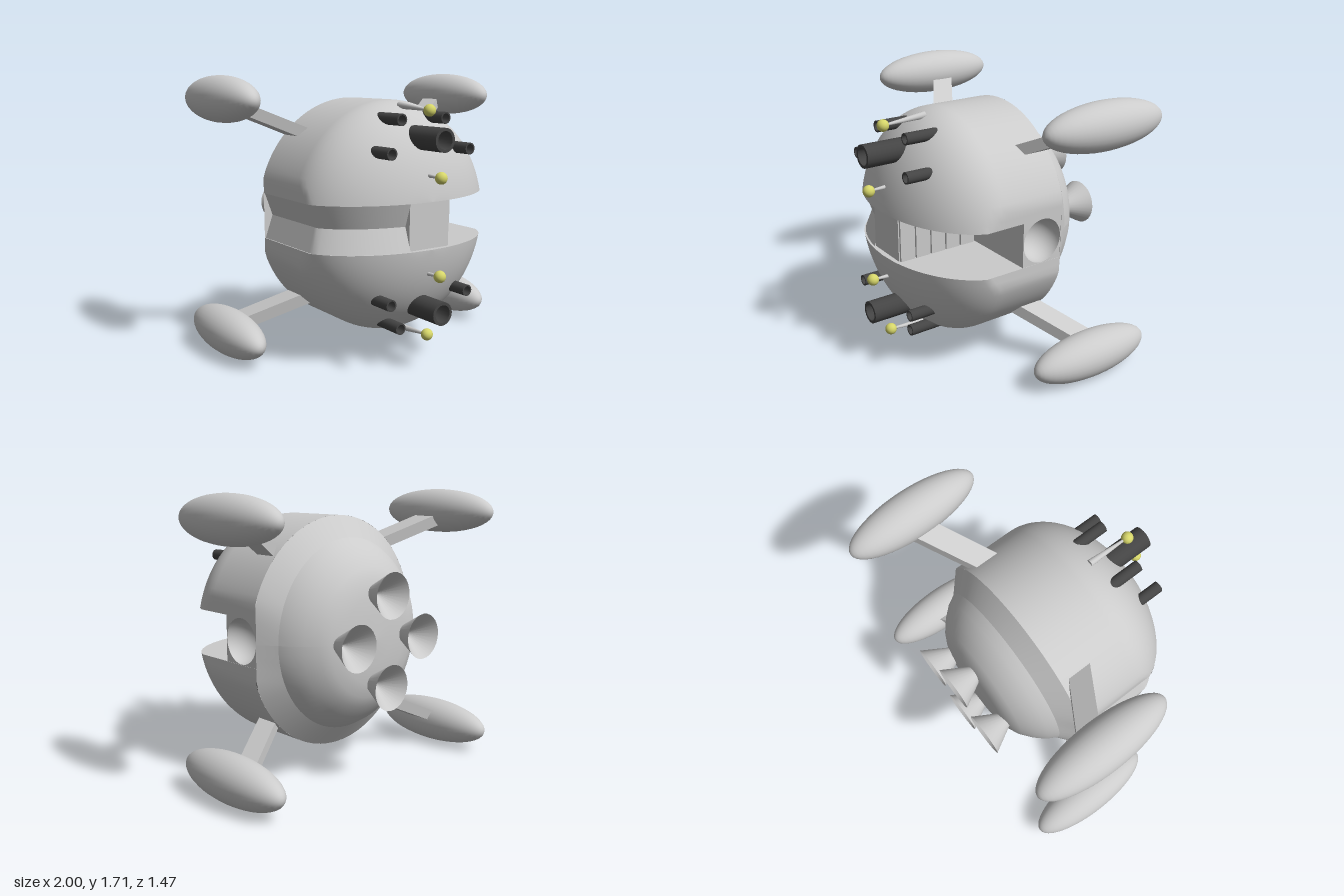
import * as THREE from 'three';

const grey = new THREE.MeshStandardMaterial({ color: 0xcccccc, side: THREE.DoubleSide });
const dark = new THREE.MeshStandardMaterial({ color: 0x444444, side: THREE.DoubleSide });
const yellow = new THREE.MeshStandardMaterial({ color: 0xd6d66a });

const MID = 0.86;              // height of the hull axis
const RX = 0.67, RY = 0.71;    // hull cross-section radii
const SIDE = 0.63;             // flat sides of the hull
const GAP = 0.14;              // half height of the slot
const BACK = -0.23;            // rear rim of the hull
const clampX = (x) => THREE.MathUtils.clamp(x, -SIDE, SIDE);

function add(parent, name, geometry, material, x = 0, y = 0, z = 0) {
  const mesh = new THREE.Mesh(geometry, material);
  mesh.name = name;
  mesh.position.set(x, y, z);
  parent.add(mesh);
  return mesh;
}

// Skin over rows of points, all rows of equal length
function loft(rows) {
  const n = rows[0].length, index = [];
  for (let i = 0; i < rows.length - 1; i++) {
    for (let j = 0; j < n - 1; j++) {
      const a = i * n + j, b = a + 1, c = a + n, d = c + 1;
      index.push(a, c, b, b, c, d);
    }
  }
  const g = new THREE.BufferGeometry();
  g.setAttribute('position', new THREE.Float32BufferAttribute(rows.flat(2), 3));
  g.setIndex(index);
  g.computeVertexNormals();
  return g;
}

function arc(s, z, from, to, count) {
  return Array.from({ length: count + 1 }, (_, j) => {
    const a = from + (to - from) * j / count;
    return [clampX(RX * s * Math.cos(a)), RY * s * Math.sin(a), z];
  });
}

// Lathe turned so that its axis runs along z
function latheZ(profile, sides) {
  return new THREE.LatheGeometry(profile.map(([r, z]) => new THREE.Vector2(r, z)), sides).rotateX(Math.PI / 2);
}

// Open barrel along z with a shallow bore
function barrel(r, back, front) {
  const b = r * 0.75;
  return latheZ([[r, back], [r, front], [r, front], [b, front], [b, front], [b, front - 0.12], [0, front - 0.12]], 20);
}

// Tapered rod between two points
function rod(p, q, r0, r1) {
  const d = new THREE.Vector3().subVectors(q, p);
  const g = new THREE.CylinderGeometry(r1, r0, d.length(), 12);
  g.applyQuaternion(new THREE.Quaternion().setFromUnitVectors(new THREE.Vector3(0, 1, 0), d.clone().normalize()));
  return g.translate((p.x + q.x) / 2, (p.y + q.y) / 2, (p.z + q.z) / 2);
}

// One half of the craft, measured from the hull axis
function createHalf(name) {
  const half = new THREE.Group();
  half.name = name;

  // Domed shell and its flat face along the slot
  const rows = [];
  const t0 = Math.acos(GAP / RY);
  for (let i = 0; i <= 20; i++) {
    const t = t0 * (1 - i / 20), s = Math.cos(t);
    const a = Math.asin(Math.min(1, GAP / (RY * s)));
    rows.push(arc(s, 0.18 + 0.457 * Math.sin(t), a, Math.PI - a, 40));
  }
  rows.push(rows[20].map(([x, y]) => [x, y, BACK]));
  add(half, 'hullShell', loft(rows), grey);
  add(half, 'slotFace', loft(rows.map((r) => [r[40], r[0]])), grey);

  // Guns
  add(half, 'mainGun', barrel(0.07, 0.38, 0.73), dark, 0, 0.5, 0);
  for (const side of [-1, 1]) {
    add(half, 'innerGun', barrel(0.035, 0.3, 0.545), dark, side * 0.16, 0.61, 0);
    add(half, 'outerGun', barrel(0.035, 0.42, 0.62), dark, side * 0.285, 0.43, 0);
  }

  // Antennas with ball tips
  for (const [y0, z0, y1, z1, r] of [[0.68, 0.31, 0.66, 0.59, 0.022], [0.29, 0.56, 0.285, 0.7, 0.014]]) {
    add(half, 'antenna', rod(new THREE.Vector3(0, y0, z0), new THREE.Vector3(0, y1, z1), r, 0.006), grey);
    add(half, 'antennaTip', new THREE.SphereGeometry(0.036, 20, 14), yellow, 0, y1, z1);
  }

  // Pods on swept struts
  for (const side of [-1, 1]) {
    const pod = new THREE.SphereGeometry(0.14, 32, 24).rotateX(Math.PI / 2).scale(1, 1, 0.425 / 0.14);
    add(half, 'pod', pod, grey, side * 0.86, 0.715, -0.305);
    const strut = new THREE.BoxGeometry(0.46, 0.075, 0.15);
    const p = strut.attributes.position;
    for (let i = 0; i < p.count; i++) {
      const out = side * p.getX(i) + 0.16;
      p.setY(i, p.getY(i) + out * 0.48);
      p.setZ(i, p.getZ(i) - out * 0.64);
    }
    strut.computeVertexNormals();
    add(half, 'strut', strut, grey, side * 0.6, 0.51, -0.11);
  }
  return half;
}

export function createModel() {
  const model = new THREE.Group();
  model.name = 'spacecraft';
  const body = new THREE.Group();
  body.name = 'body';
  body.position.y = MID;
  model.add(body);

  // The lower half is the upper half turned about the hull axis
  body.add(createHalf('upperHalf'));
  const lower = createHalf('lowerHalf');
  lower.rotation.z = Math.PI;
  body.add(lower);

  // Rear cone rising to a shallow dome
  const rear = [[0, BACK], [1, BACK], [1, BACK], [0.82, -0.33], [0.82, -0.33], [0.77, -0.39], [0.69, -0.45],
    [0.59, -0.505], [0.5, -0.535], [0.38, -0.555], [0.2, -0.565], [0, -0.57]];
  add(body, 'rearDome', loft(rear.map(([s, z]) => arc(s, z, 0, Math.PI * 2, 64))), grey);

  // Four rear nozzles in a diamond
  for (const [x, y] of [[0.27, 0], [-0.27, 0], [0, 0.27], [0, -0.27]]) {
    add(body, 'nozzle', latheZ([[0.05, -0.5], [0.05, -0.54], [0.137, -0.695], [0.137, -0.695], [0, -0.55]], 28), grey, x, y, 0);
  }

  // Central block in the slot with a row of panels on its left side
  const h = GAP * 2 - 0.002;
  add(body, 'slotBlock', new THREE.BoxGeometry(0.28, h, 0.82), grey, 0, 0, 0.185);
  for (let i = 0; i < 5; i++) {
    add(body, 'sidePanel', new THREE.BoxGeometry(0.03, h, 0.096), grey, 0.14, 0, 0.54 - i * 0.107);
  }

  // Cross wall on the left, with a round hollow in its end
  const face = new THREE.Shape([[-GAP, -GAP], [GAP, -GAP], [GAP, GAP], [-GAP, GAP]].map(([x, y]) => new THREE.Vector2(x, y)));
  face.holes.push(new THREE.Path().absarc(0, 0, GAP - 0.003, 0, Math.PI * 2, true));
  const wall = new THREE.ExtrudeGeometry(face, { depth: 0.49, bevelEnabled: false, curveSegments: 24 });
  add(body, 'crossWall', wall.rotateY(Math.PI / 2), grey, 0.138, 0, -0.09);
  const hollow = new THREE.SphereGeometry(GAP - 0.003, 32, 12, 0, Math.PI * 2, 0, Math.PI / 2);
  add(body, 'wallHollow', hollow.rotateZ(Math.PI / 2), grey, 0.625, 0, -0.09);

  // Grooved filler closing the right side of the slot
  const path = [];
  const p0 = Math.asin(0.14 / RX);
  for (let i = 0; i <= 16; i++) {
    const a = p0 + (Math.PI / 2 - p0) * i / 16;
    path.push([-RX * Math.sin(a), 0.18 + 0.44 * Math.cos(a)]);
  }
  path.push([-RX, BACK]);
  const filler = (y0, y1) => loft(path.map(([x, z], i) => [y0, y1].map((y) => {
    const k = y === 0 ? 0.91 : 0.99;
    return [Math.min(-0.138, clampX(x) * k), y, i === path.length - 1 ? z : z * k];
  })));
  add(body, 'upperFiller', filler(GAP, 0), grey);
  add(body, 'lowerFiller', filler(0, -GAP), grey);

  return model;
}
